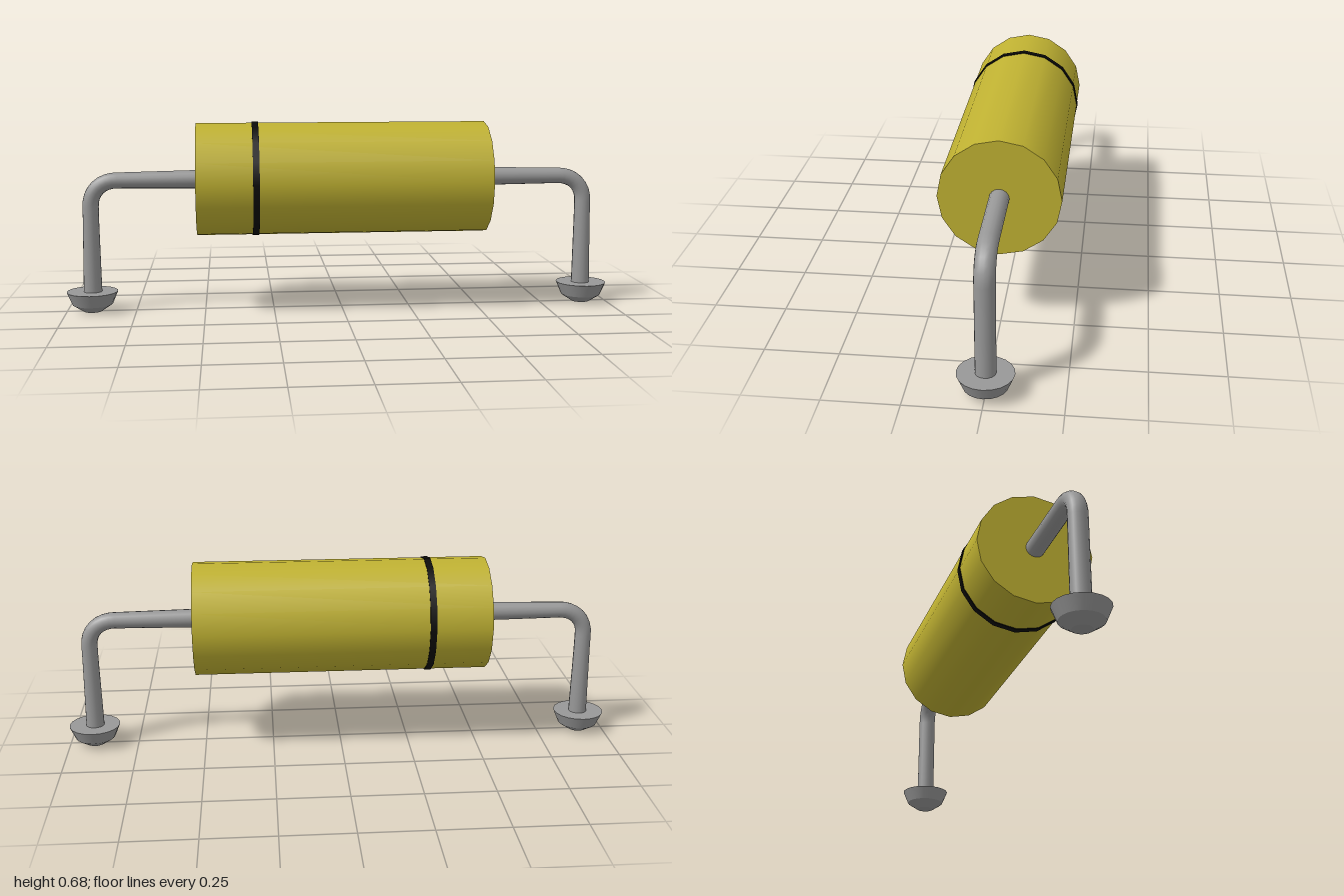
import * as THREE from 'three';

export function createModel() {
  const model = new THREE.Group();
  const mat = (name, color) => new THREE.MeshStandardMaterial({ name, color });
  const yellow = mat('yellow casing', 0xc0b232);
  const black = mat('black band', 0x0c0c0a);
  const metal = mat('grey metal', 0x989898);
  const axisY = 0.477;

  const add = (parent, name, geometry, material, x = 0, y = 0) => {
    const mesh = new THREE.Mesh(geometry, material);
    mesh.name = name;
    mesh.position.set(x, y, 0);
    parent.add(mesh);
    return mesh;
  };

  // Cylindrical casing and the stripe around one end
  const body = new THREE.CylinderGeometry(0.2035, 0.2035, 1.05, 16).rotateZ(Math.PI / 2);
  add(model, 'casing', body, yellow, 0, axisY);
  const band = new THREE.CylinderGeometry(0.207, 0.207, 0.023, 16).rotateZ(Math.PI / 2);
  add(model, 'polarityBand', band, black, -0.314, axisY);

  // Bent wire, slightly slimmer towards the elbow
  const makeLead = () => {
    const v = (x, y) => new THREE.Vector3(x, y, 0);
    const path = new THREE.CurvePath();
    path.add(new THREE.LineCurve3(v(0.515, 0.478), v(0.81, 0.477)));
    path.add(new THREE.CubicBezierCurve3(v(0.81, 0.477), v(0.865, 0.477), v(0.905, 0.44), v(0.905, 0.385)));
    path.add(new THREE.LineCurve3(v(0.905, 0.385), v(0.906, 0.05)));
    const rings = 40, sides = 16;
    const geo = new THREE.TubeGeometry(path, rings, 0.0335, sides);
    const pos = geo.attributes.position;
    for (let i = 0; i <= rings; i++) {
      const u = i / rings;
      const c = path.getPointAt(u);
      const k = 1 - 0.14 * Math.min(1, Math.min(u, 1 - u) / 0.36);
      for (let j = 0; j <= sides; j++) {
        const n = i * (sides + 1) + j;
        pos.setXY(n, c.x + (pos.getX(n) - c.x) * k, c.y + (pos.getY(n) - c.y) * k);
      }
    }
    geo.computeBoundingSphere();
    return geo;
  };

  // One lead with its solder foot, turned round for the other end
  for (const [side, turn] of [['left', 0], ['right', Math.PI]]) {
    const leg = new THREE.Group();
    leg.name = side + 'Leg';
    leg.rotation.y = turn;
    add(leg, side + 'Lead', makeLead(), metal);
    add(leg, side + 'FootRim', new THREE.CylinderGeometry(0.092, 0.072, 0.047, 20), metal, 0.908, 0.0495);
    add(leg, side + 'FootTip', new THREE.CylinderGeometry(0.072, 0.033, 0.026, 20), metal, 0.908, 0.013);
    model.add(leg);
  }
  return model;
}
